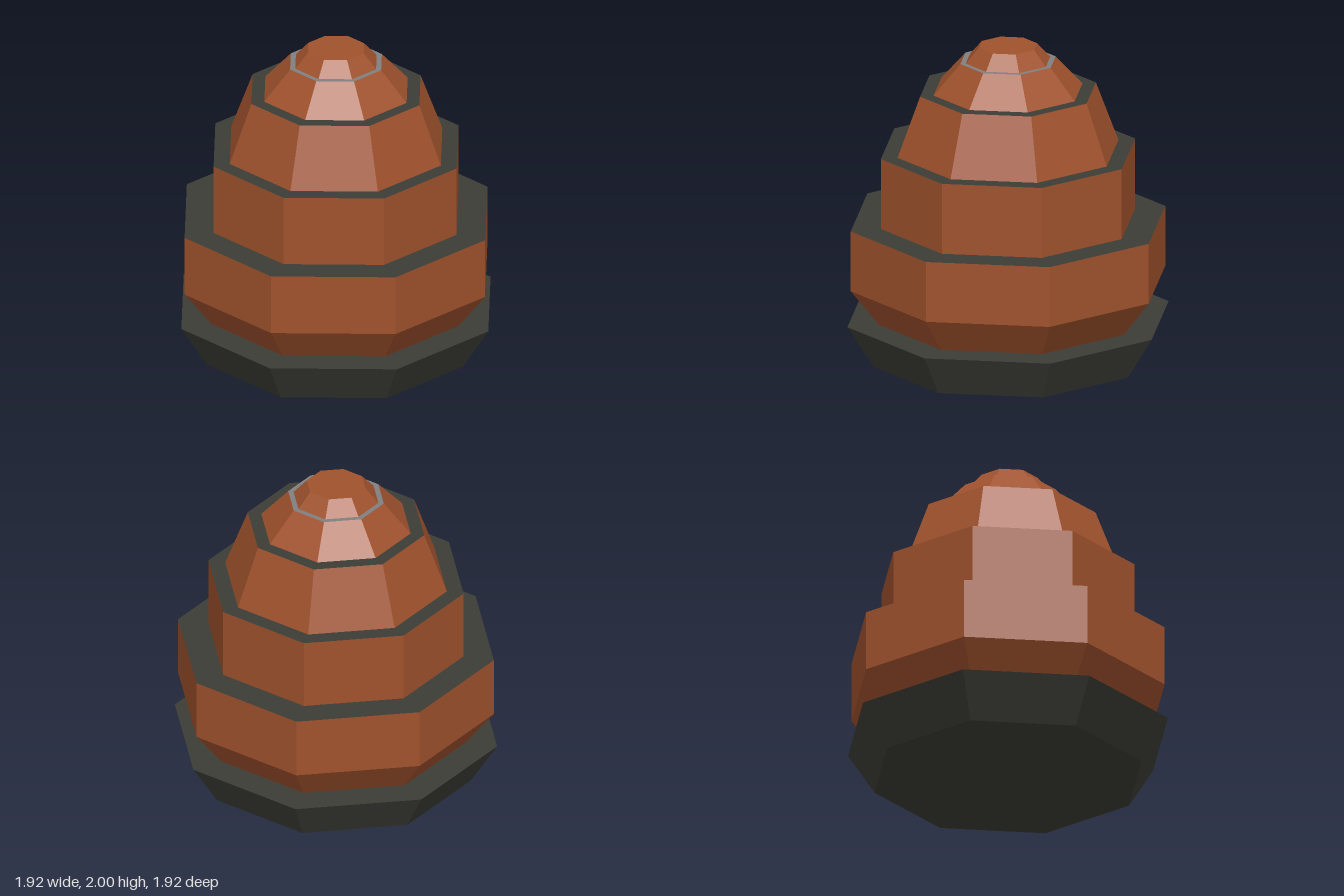
import * as THREE from 'three';

const SIDES = 8;
const TURN = THREE.MathUtils.degToRad(25.5); // slight twist of every octagon

function material(name, color) {
  const m = new THREE.MeshStandardMaterial({ color, flatShading: true });
  m.name = name;
  return m;
}

export function createModel() {
  const sienna = material('sienna', 0xa0522d);
  const charcoal = material('charcoal', 0x3c3d36);
  const grey = material('grey', 0x808080);

  // Octagonal tiers: name, bottom y, top y, bottom radius, top radius, wall colour, top colour
  const tiers = [
    ['base', 0, 0.27, 0.85, 1.018, charcoal, charcoal],
    ['lowerTierFlare', 0.27, 0.5, 0.82, 0.997, sienna, sienna],
    ['lowerTier', 0.5, 0.885, 0.997, 0.997, sienna, charcoal],
    ['middleTier', 0.885, 1.335, 0.806, 0.806, sienna, charcoal],
    ['upperTier', 1.335, 1.717, 0.7, 0.557, sienna, charcoal],
    ['crown', 1.717, 1.906, 0.472, 0.302, sienna, grey],
    ['cap', 1.906, 2, 0.268, 0.185, sienna, sienna],
  ];

  const model = new THREE.Group();
  model.name = 'tieredTower';
  for (const [name, y0, y1, r0, r1, wall, top] of tiers) {
    const geometry = new THREE.CylinderGeometry(r1, r0, y1 - y0, SIDES, 1, false, TURN);
    const mesh = new THREE.Mesh(geometry, [wall, top, wall]); // wall, top, underside
    mesh.position.y = (y0 + y1) / 2;
    mesh.name = name;
    model.add(mesh);
  }
  return model;
}
